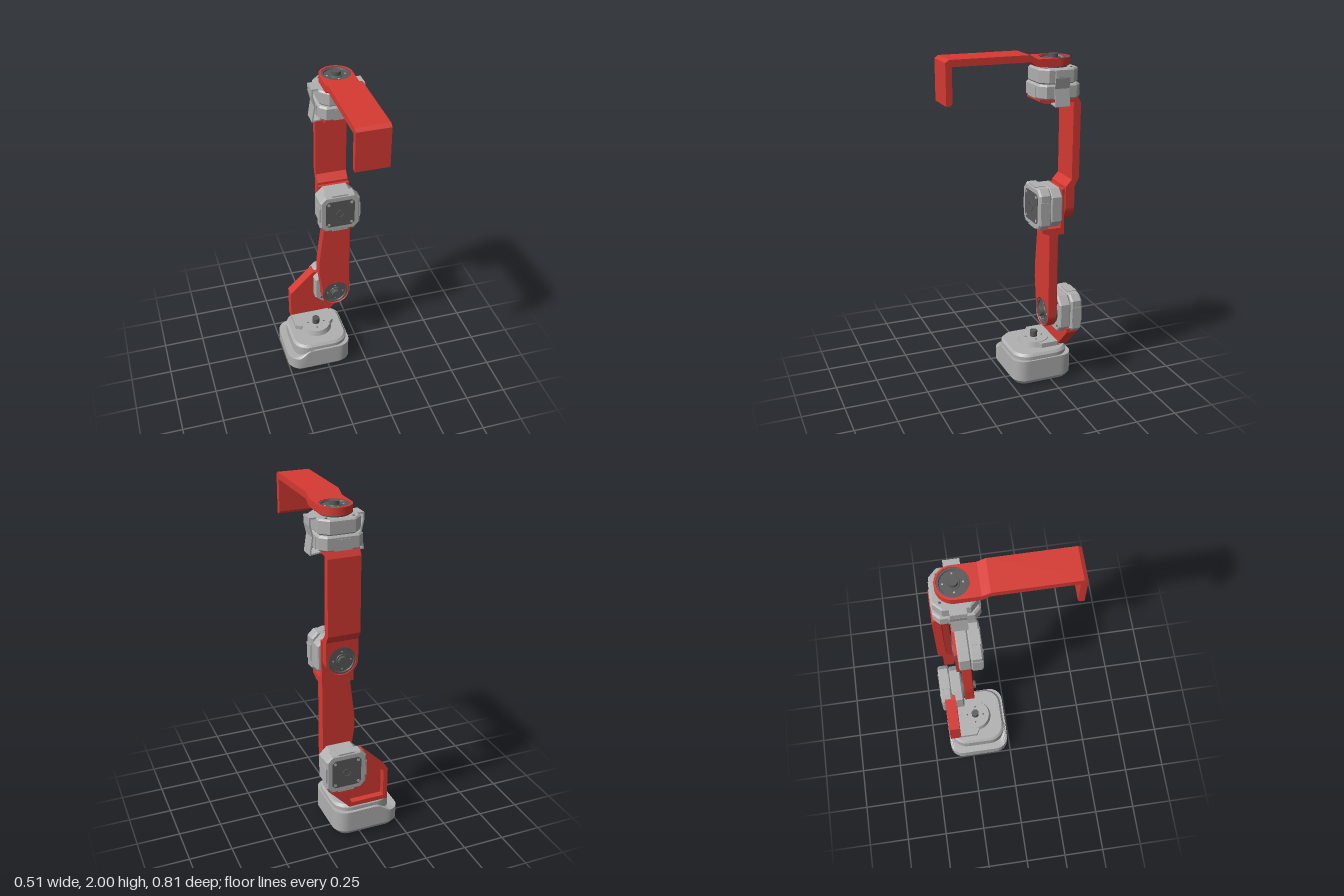
import * as THREE from 'three';
import { toCreasedNormals, mergeGeometries } from 'three/addons/utils/BufferGeometryUtils.js';

const material = (name, color) => {
  const m = new THREE.MeshStandardMaterial({ color });
  m.name = name;
  return m;
};

export function createModel() {
  const red = material('red plastic', 0xd63a33);
  const grey = material('grey plastic', 0xb0b0b0);
  const dark = material('dark metal', 0x595959);
  const root = new THREE.Group();

  const add = (parent, name, geo, mat, x = 0, y = 0, z = 0) => {
    const mesh = new THREE.Mesh(geo, mat);
    mesh.name = name;
    mesh.position.set(x, y, z);
    parent.add(mesh);
    return mesh;
  };
  const poly = (pts) => new THREE.Shape(pts.map((p) => new THREE.Vector2(...p)));
  const punch = (shape, x, y, r) => {
    shape.holes.push(new THREE.Path().absarc(x, y, r, 0, Math.PI * 2, true));
    return shape;
  };
  // Plate in the xy plane between z0 and z1
  const plate = (shape, z0, z1, bevel = 0) => {
    const g = new THREE.ExtrudeGeometry(shape, {
      depth: z1 - z0 - 2 * bevel, curveSegments: 24, bevelEnabled: bevel > 0,
      bevelSize: bevel, bevelOffset: -bevel, bevelThickness: bevel, bevelSegments: 1,
    });
    g.translate(0, 0, z0 + bevel);
    return toCreasedNormals(g, 0.5);
  };
  // Profile of [z, y] points, extruded sideways from x0 to x1
  const sideways = (pts, x0, x1) => plate(poly(pts), 0, x1 - x0).rotateY(-Math.PI / 2).translate(x1, 0, 0);
  // Outline of [x, -z], extruded upwards from y0 to y1
  const upright = (shape, y0, y1, bevel) => plate(shape, y0, y1, bevel).rotateX(-Math.PI / 2);
  const rod = (r, z0, z1, n = 24) =>
    new THREE.CylinderGeometry(r, r, z1 - z0, n).rotateX(Math.PI / 2).translate(0, 0, (z0 + z1) / 2);
  const octagon = (h, c) => poly([
    [h, c - h], [h, h - c], [h - c, h], [c - h, h], [-h, h - c], [-h, c - h], [c - h, -h], [h - c, -h],
  ]);

  // ---- Base: lofted rounded outlines, with a ledge that ramps up along x ----
  const outline = (x0, x1, z0, z1, r) => {
    const pts = [];
    const corners = [[x1 - r, z0 + r], [x0 + r, z0 + r], [x0 + r, z1 - r], [x1 - r, z1 - r]];
    corners.forEach(([cx, cz], k) => {
      for (let i = 0; i <= 8; i++) {
        const a = (k + i / 8) * Math.PI / 2;
        pts.push([cx + r * Math.cos(a), cz - r * Math.sin(a)]);
      }
      const a = (k + 1) * Math.PI / 2, [nx, nz] = corners[(k + 1) % 4], p = pts[pts.length - 1];
      const q = [nx + r * Math.cos(a), nz - r * Math.sin(a)];
      for (let i = 1; i < 12; i++) pts.push([p[0] + (q[0] - p[0]) * i / 12, p[1] + (q[1] - p[1]) * i / 12]);
    });
    return pts;
  };
  const ledge = (x) => 0.11 + 0.05 * THREE.MathUtils.smoothstep(x, -0.2, -0.1);
  const inner = outline(-0.213, 0.14, -0.375, -0.025, 0.1);
  const rings = [
    [outline(-0.05, -0.048, -0.201, -0.199, 0.001), () => 0],
    [outline(-0.23, 0.125, -0.37, -0.035, 0.06), () => 0],
    [outline(-0.255, 0.15, -0.392, -0.012, 0.08), () => 0.03],
    [outline(-0.255, 0.15, -0.392, -0.012, 0.08), ledge],
    [inner, ledge],
    [inner, () => 0.182],
    [outline(-0.2, 0.128, -0.362, -0.038, 0.09), () => 0.197],
    [outline(-0.05, -0.048, -0.201, -0.199, 0.001), () => 0.197],
  ];
  const verts = [], idx = [], n = inner.length;
  rings.forEach(([pts, h]) => pts.forEach(([x, z]) => verts.push(x, h(x), z)));
  for (let j = 0; j < rings.length - 1; j++) for (let i = 0; i < n; i++) {
    const a = j * n + i, b = j * n + (i + 1) % n;
    idx.push(a, b, b + n, a, b + n, a + n);
  }
  const baseGeo = new THREE.BufferGeometry();
  baseGeo.setAttribute('position', new THREE.Float32BufferAttribute(verts, 3));
  baseGeo.setIndex(idx);
  add(root, 'base', toCreasedNormals(baseGeo, 0.5), grey);

  // ---- Turntable on the base ----
  add(root, 'turntablePlate', upright(poly([[-0.17, 0.21], [-0.135, 0.19], [0.06, 0.19], [0.08, 0.21], [0.08, 0.33], [-0.17, 0.33]]), 0.195, 0.226), grey);
  add(root, 'turntableDisc', new THREE.CylinderGeometry(0.09, 0.1, 0.034, 40), grey, -0.035, 0.213, -0.203);
  add(root, 'turntableShaft', new THREE.CylinderGeometry(0.023, 0.023, 0.045, 16), dark, -0.035, 0.245, -0.203);
  for (let i = 0; i < 4; i++) {
    const a = i * Math.PI / 2 + 0.1;
    add(root, 'turntableScrew', new THREE.CylinderGeometry(0.005, 0.005, 0.003, 10), dark,
      -0.035 + 0.052 * Math.cos(a), 0.2305, -0.203 + 0.052 * Math.sin(a));
  }

  // ---- Shoulder bracket: flat plate with a rim at the back ----
  const bracket = [[-0.17, 0.198], [0.07, 0.198], [0.2, 0.335], [0.2, 0.36], [0.02, 0.555], [-0.02, 0.555], [-0.17, 0.405]];
  add(root, 'shoulderBracket', plate(poly(bracket), -0.345, -0.315), red);
  const rim = poly(bracket);
  rim.holes.push(poly([[-0.143, 0.225], [-0.143, 0.393], [-0.05, 0.485], [-0.05, 0.33], [-0.02, 0.3], [0.12, 0.3], [0.055, 0.225]]));
  add(root, 'shoulderBracketRim', plate(rim, -0.383, -0.345), red);

  // ---- Motors: output along local +z, dark cover at the back ----
  const motor = (name, depth, hornHeight, shaftEnd) => {
    const g = new THREE.Group();
    g.name = name;
    root.add(g);
    const mid = -depth * 0.5;
    add(g, 'frontHousing', plate(octagon(0.116, 0.045), mid, 0, 0.008), grey);
    add(g, 'rearHousing', plate(octagon(0.122, 0.034), -depth, mid, 0.01), grey);
    add(g, 'rearCover', plate(octagon(0.088, 0.018), -depth - 0.003, -depth + 0.002), dark);
    add(g, 'rearHub', new THREE.TorusGeometry(0.023, 0.003, 6, 24), dark, 0, 0, -depth - 0.003);
    for (let i = 0; i < 4; i++) {
      const side = new THREE.Group();
      side.name = 'motorSide';
      side.rotation.z = i * Math.PI / 2;
      g.add(side);
      add(side, 'sideClip', new THREE.BoxGeometry(0.012, 0.095, 0.06), grey, 0.119, 0, -depth + 0.034);
      add(side, 'rearScrew', rod(0.009, -depth - 0.005, -depth, 12), grey, 0.07, 0.07, 0);
      add(side, 'frontScrew', rod(0.007, -0.002, 0.002, 12), dark, 0.075, 0.075, 0);
    }
    const h = hornHeight;
    const profile = [[0.08, 0], [0.08, h], [0.07, h], [0.067, h - 0.007], [0.036, h - 0.007], [0.034, h - 0.003], [0, h - 0.003]];
    const horn = new THREE.LatheGeometry(profile.map((p) => new THREE.Vector2(...p)), 40).rotateX(Math.PI / 2);
    add(g, 'horn', toCreasedNormals(horn, 0.5), dark);
    add(g, 'shaft', rod(0.027, h - 0.01, shaftEnd, 12), dark);
    for (let i = 0; i < 4; i++) {
      const a = i * Math.PI / 2;
      add(g, 'hornScrew', rod(0.005, h - 0.009, h - 0.005, 10), grey, 0.051 * Math.cos(a), 0.051 * Math.sin(a), 0);
    }
    return g;
  };
  motor('shoulderMotor', 0.14, 0.064, 0.088).position.set(0.098, 0.455, -0.264);
  const elbow = motor('elbowMotor', 0.143, 0.074, 0.088);
  elbow.position.set(0.1, 1.13, -0.265);
  elbow.rotation.y = Math.PI;
  const wrist = motor('wristMotor', 0.165, 0.05, 0.068);
  wrist.position.set(0.105, 1.922, -0.238);
  wrist.rotation.x = -Math.PI / 2;

  // ---- Upper arm ----
  const upper = new THREE.Shape();
  upper.moveTo(0.188, 0.455);
  [[0.188, 1.0], [0.015, 1.0], [0.015, 0.95], [-0.013, 0.72], [-0.013, 0.64], [0.008, 0.5], [0.008, 0.455]].forEach((p) => upper.lineTo(...p));
  upper.absarc(0.098, 0.455, 0.09, Math.PI, Math.PI * 2, false);
  add(root, 'upperArm', plate(punch(upper, 0.098, 0.455, 0.081), -0.255, -0.195, 0.004), red);

  // Elbow cradle under and behind the motor
  add(root, 'elbowCradle', sideways([[-0.15, 0.99], [-0.2, 0.97], [-0.283, 0.97], [-0.283, 1.24], [-0.265, 1.24], [-0.265, 1.012], [-0.15, 1.012]], 0.01, 0.198), red);

  // ---- Forearm: round end plus a cranked strap ----
  const ring = (cy, far, half) => {
    const s = new THREE.Shape();
    s.moveTo(0.103 + half, cy);
    s.lineTo(0.103 + half, far);
    s.lineTo(0.103 - half, far);
    s.lineTo(0.103 - half, cy);
    s.absarc(0.103, cy, half, Math.PI, Math.PI * 2, false);
    return punch(s, 0.103, cy, 0.081);
  };
  add(root, 'forearmEnd', plate(ring(1.13, 1.25, 0.093), -0.345, -0.29), red);
  add(root, 'forearm', sideways([
    [-0.29, 1.25], [-0.345, 1.25], [-0.37, 1.295], [-0.37, 1.725], [-0.348, 1.765], [-0.345, 1.757],
    [-0.125, 1.757], [-0.125, 1.745], [-0.16, 1.732], [-0.326, 1.732], [-0.326, 1.29],
  ], 0.01, 0.196), red);

  // ---- Wire-like clips beside the wrist motor ----
  const clip = [[0, 1.917], [-0.042, 1.917], [-0.042, 1.88], [-0.028, 1.82], [-0.042, 1.727], [0.03, 1.735]];
  const strips = [];
  for (let i = 1; i < clip.length; i++) {
    const [ax, ay] = clip[i - 1], [bx, by] = clip[i];
    strips.push(new THREE.BoxGeometry(Math.hypot(bx - ax, by - ay) + 0.006, 0.008, 0.085)
      .rotateZ(Math.atan2(by - ay, bx - ax)).translate((ax + bx) / 2, (ay + by) / 2, -0.232));
  }
  const clipGeo = mergeGeometries(strips);
  add(root, 'rightWristClip', clipGeo, grey);
  add(root, 'leftWristClip', clipGeo.clone().rotateY(Math.PI), grey, 0.21, 0, -0.464);

  // ---- Hand: round end and hooked strap ----
  const handEnd = ring(0, -0.12, 0.093);
  const flipped = new THREE.Shape(handEnd.getPoints(24).map((p) => new THREE.Vector2(p.x, 0.238 + p.y)));
  const cap = new THREE.Shape();
  cap.moveTo(0.196, 0.238);
  cap.absarc(0.103, 0.238, 0.093, 0, Math.PI, false);
  cap.lineTo(0.01, 0.128);
  cap.lineTo(0.196, 0.128);
  add(root, 'handEnd', upright(punch(cap, 0.105, 0.238, 0.081), 1.932, 1.975), red);
  add(root, 'hand', sideways([
    [-0.128, 1.932], [-0.1, 1.938], [-0.07, 1.962], [0.37, 1.962], [0.37, 1.775], [0.38, 1.76],
    [0.405, 1.76], [0.405, 1.985], [0.385, 2.0], [-0.065, 2.0], [-0.11, 1.975], [-0.128, 1.975],
  ], 0.01, 0.196), red);
  return root;
}
